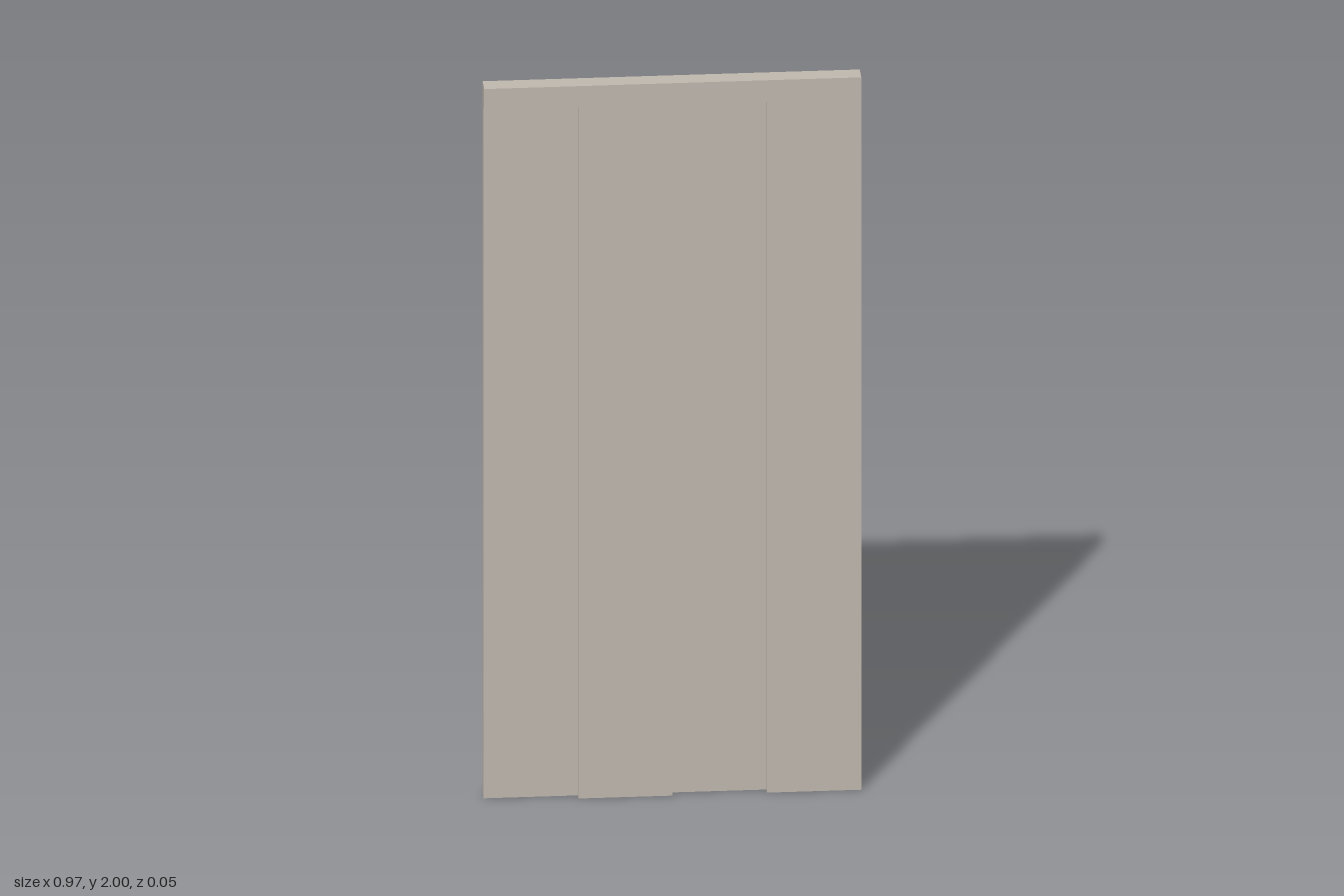
import * as THREE from 'three';

export function createModel() {
  const group = new THREE.Group();
  const material = new THREE.MeshStandardMaterial({ color: 0xc0b8ae, flatShading: true });

  const width = 0.97, depth = 0.05, height = 2, capHeight = 0.06;
  const strips = 4, stripWidth = width / strips;
  const outer = depth / 2, inner = 0.005; // strips are 0.03 thick and overlap slightly

  // Corrugated cross-section: strips alternate between the back and the front
  const front = [], back = [];
  for (let i = 0; i < strips; i++) {
    const forward = i % 2 === 1;
    for (const x of [i, i + 1]) {
      const px = -width / 2 + x * stripWidth;
      front.push(new THREE.Vector2(px, forward ? -outer : -inner));
      back.push(new THREE.Vector2(px, forward ? inner : outer));
    }
  }
  const section = new THREE.Shape([...front, ...back.reverse()]);
  const panelGeometry = new THREE.ExtrudeGeometry(section, {
    depth: height - capHeight, bevelEnabled: false,
  });
  panelGeometry.rotateX(-Math.PI / 2); // section y becomes -z, extrusion runs upwards
  const panel = new THREE.Mesh(panelGeometry, material);
  panel.name = 'corrugatedPanel';
  group.add(panel);

  // Full-depth rail along the top
  const rail = new THREE.Mesh(new THREE.BoxGeometry(width, capHeight, depth), material);
  rail.position.y = height - capHeight / 2;
  rail.name = 'topRail';
  group.add(rail);

  return group;
}
